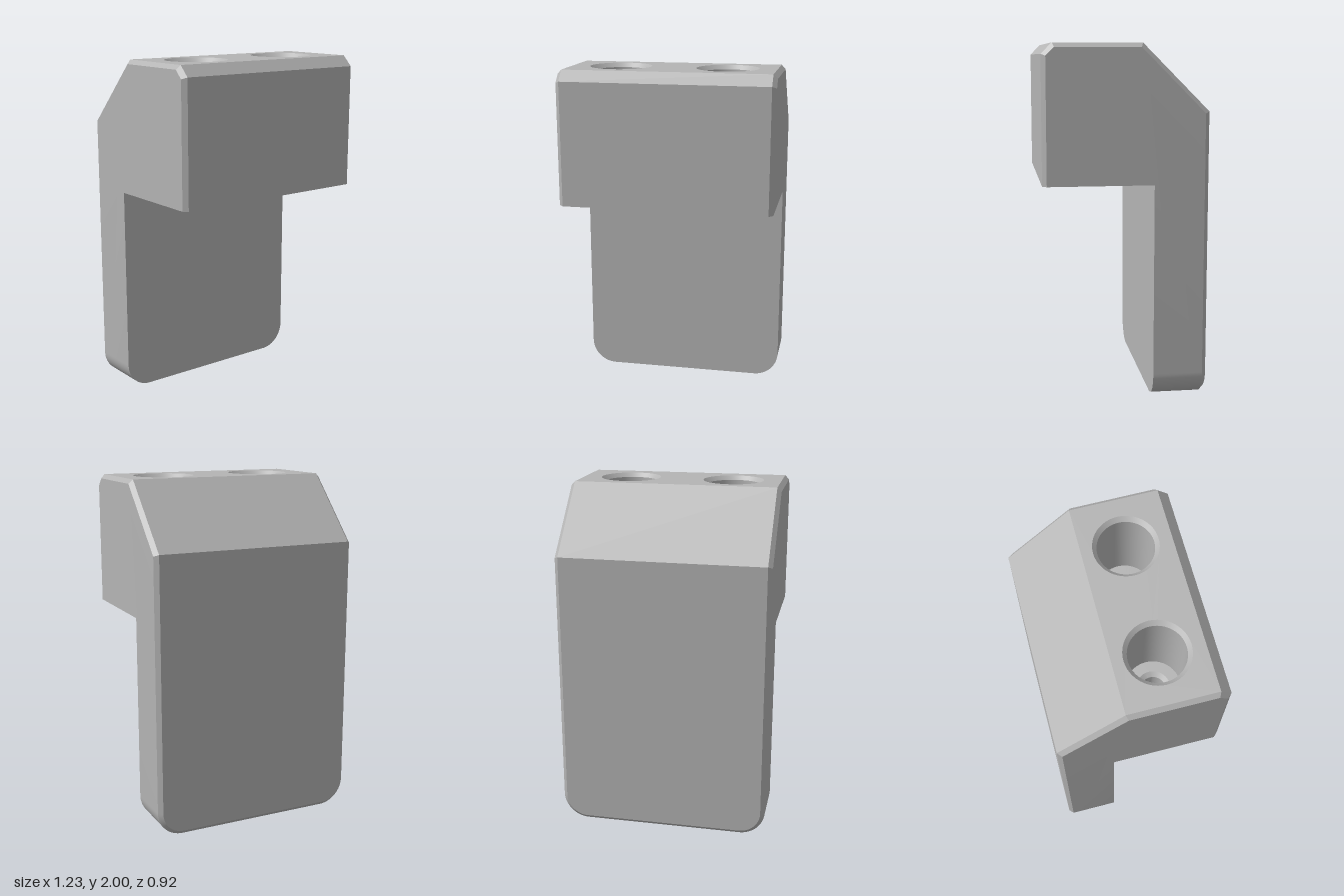
import * as THREE from 'three';
import { mergeGeometries, toCreasedNormals } from 'three/addons/utils/BufferGeometryUtils.js';

const W = 0.614, C = 0.024;            // half width, edge chamfer
const BACK = -0.46, PLATE = -0.155, UNDER = 1.23, R = 0.15;
const BORE_X = 0.31, BORE_Z = 0.15, SEG = 48;

// side outline as [z, y], from the front lower edge over the top and down the back
const OUTER = [[0.46, UNDER], [0.46, 1.94], [0.4, 2], [-0.09, 2], [BACK, 1.63], [BACK, R]];
const INNER = [[0.46 - C, UNDER], [0.46 - C, 1.93], [0.39, 2 - C], [-0.08, 2 - C], [BACK + C, 1.62], [BACK + C, R]];

// quads between two rows of [x, y, z] points
function strip(a, b, skip = -1) {
  const pos = [];
  for (let i = 0; i < a.length - 1; i++) {
    if (i === skip) continue;
    pos.push(...a[i], ...b[i], ...b[i + 1], ...a[i], ...b[i + 1], ...a[i + 1]);
  }
  const g = new THREE.BufferGeometry();
  g.setAttribute('position', new THREE.Float32BufferAttribute(pos, 3));
  return g;
}

function flat(points, holes = []) {
  const shape = new THREE.Shape(points.map(([x, y]) => new THREE.Vector2(x, y)));
  for (const [x, y, r] of holes) shape.holes.push(new THREE.Path().absarc(x, y, r, 0, Math.PI * 2, true));
  const g = new THREE.ShapeGeometry(shape, SEG / 2).toNonIndexed();
  g.deleteAttribute('uv');
  g.deleteAttribute('normal');
  return g;
}

// rounded lower edge of the plate, from left to right, inset by d
function lowerEdge(d) {
  const pts = [], n = 16;
  for (const side of [-1, 1]) {
    for (let i = 0; i <= n; i++) {
      const t = (side < 0 ? i : n - i) / n * Math.PI / 2;
      pts.push([side * (W - R + (R - d) * Math.cos(t)), R - (R - d) * Math.sin(t)]);
    }
  }
  return pts;
}

function bodyGeometry() {
  const row = (path, x) => path.map(([z, y]) => [x, y, z]);
  const rows = [row(INNER, -W), row(OUTER, -W + C), row(OUTER, W - C), row(INNER, W)];
  const rim = (d, z) => lowerEdge(d).map(([x, y]) => [x, y, z]);
  const rims = [rim(0, PLATE), rim(0, BACK + C), rim(C, BACK)];
  const bores = (zSign, r) => [-1, 1].map(s => [s * BORE_X, zSign * BORE_Z, r]);
  const side = [...INNER, [PLATE, R], [PLATE, UNDER]];
  const w = W - C;
  return toCreasedNormals(mergeGeometries([
    // front, slopes, back lower strip and edge chamfers; the top is added with its holes
    strip(rows[0], rows[1]), strip(rows[1], rows[2], 2), strip(rows[2], rows[3]),
    strip(rims[0], rims[1]), strip(rims[1], rims[2]),
    // top
    flat([[-w, -0.4], [w, -0.4], [w, 0.09], [-w, 0.09]], bores(-1, 0.178))
      .rotateX(-Math.PI / 2).translate(0, 2, 0),
    // underside of the head
    flat([[-W, PLATE], [W, PLATE], [W, 0.46 - C], [w, 0.46], [-w, 0.46], [-W, 0.46 - C]], bores(1, 0.095))
      .rotateX(Math.PI / 2).translate(0, UNDER, 0),
    // plate front and the rounded end of its back
    flat([...lowerEdge(0), [W, UNDER], [-W, UNDER]]).translate(0, 0, PLATE),
    flat(lowerEdge(C)).rotateY(Math.PI).translate(0, 0, BACK),
    // flat sides
    flat(side.map(([z, y]) => [-z, y])).rotateY(Math.PI / 2).translate(W, 0, 0),
    flat(side).rotateY(-Math.PI / 2).translate(-W, 0, 0),
  ]), 0.5);
}

// counterbored screw hole, profile from the top down
function boreGeometry() {
  const profile = [
    [0.178, 2], [0.155, 2 - C], [0.155, 1.46], [0.095, 1.46],
    [0.07, 1.435], [0.07, UNDER + 0.025], [0.095, UNDER],
  ].map(([r, y]) => new THREE.Vector2(r, y));
  return toCreasedNormals(new THREE.LatheGeometry(profile, SEG), 0.5);
}

export function createModel() {
  const group = new THREE.Group();
  group.name = 'hookBracket';
  const grey = new THREE.MeshStandardMaterial({ color: 0xb4b4b4 });
  grey.name = 'grey';

  const body = new THREE.Mesh(bodyGeometry(), grey);
  body.name = 'body';
  group.add(body);

  const bore = boreGeometry();
  for (const s of [-1, 1]) {
    const hole = new THREE.Mesh(bore, grey);
    hole.name = s > 0 ? 'leftScrewHole' : 'rightScrewHole';
    hole.position.set(s * BORE_X, 0, BORE_Z);
    group.add(hole);
  }
  return group;
}
